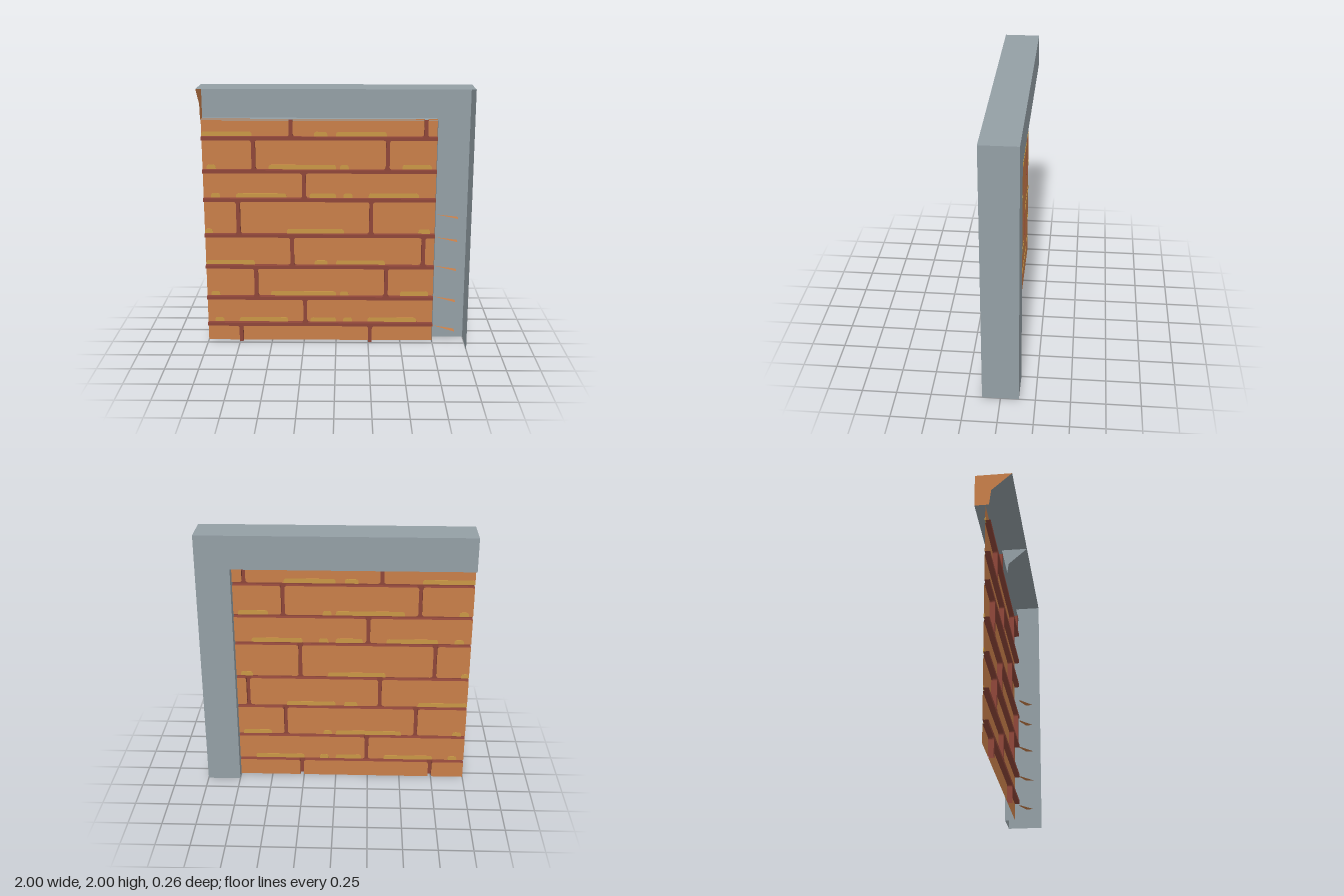
import * as THREE from 'three';

const mat = (name, color) => {
  const m = new THREE.MeshStandardMaterial({ color, side: THREE.DoubleSide });
  m.name = name;
  return m;
};

export function createModel() {
  const grey = mat('stoneGrey', 0x939fa5);
  const orange = mat('brickOrange', 0xc87e49);
  const red = mat('mortarRed', 0x8f4639);
  const ochre = mat('brickOchre', 0xc99745);

  const model = new THREE.Group();
  model.name = 'brickWallCorner';
  const add = (parent, name, geometry, material) => {
    const mesh = new THREE.Mesh(geometry, material);
    mesh.name = name;
    parent.add(mesh);
    return mesh;
  };
  const group = (name) => {
    const g = new THREE.Group();
    g.name = name;
    model.add(g);
    return g;
  };
  const polygon = (pts) => new THREE.ShapeGeometry(new THREE.Shape(pts.map(([x, y]) => new THREE.Vector2(x, y))));

  const D = 0.132;            // half depth of the frame
  const L = -1, R = 0.75, TOP = 1.755;
  const FACE = -0.055, FLOOR = -0.017;

  // Frame: an open shell made of single sheets
  const frame = group('frame');
  add(frame, 'frameFace', polygon([[-1, 2], [-1, 1.75], [R, 1.75], [R, 0], [1, 0], [1, 2]]).translate(0, 0, -D), grey);
  add(frame, 'frameTop', new THREE.PlaneGeometry(2, 2 * D).rotateX(-Math.PI / 2).translate(0, 2, 0), grey);
  add(frame, 'columnSide', new THREE.PlaneGeometry(2 * D, 2).rotateY(Math.PI / 2).translate(1, 1, 0), grey);
  const reveal = FLOOR + D;
  add(frame, 'columnReveal', new THREE.PlaneGeometry(reveal, 1.75).rotateY(Math.PI / 2)
    .translate(R, 0.875, -D + reveal / 2), grey);
  add(frame, 'beamUnderside', new THREE.PlaneGeometry(R - L, reveal).rotateX(Math.PI / 2)
    .translate((L + R) / 2, 1.75, -D + reveal / 2), grey);

  // Cross plates of the beam, at its open end and at the middle
  const rib = () => polygon([[D, 2], [0.015, 1.87], [0.04, 1.75], [D, 1.75], [-D, 2]].map(([z, y], i) =>
    i === 4 ? [D, 2] : [z, y]));
  const section = () => polygon([[-D, 2], [D, 2], [-0.015, 1.87], [-0.03, 1.75], [-D, 1.75]]).rotateY(-Math.PI / 2);
  add(frame, 'beamEnd', section().translate(-1, 0, 0), orange);
  add(frame, 'beamRib', section().translate(0, 0, 0), grey);

  // Brick ledges inside the column
  for (const y of [0.13, 0.37, 0.62, 0.85, 1.03]) {
    add(frame, 'columnLedge', polygon([[0.75, -0.05], [0.91, 0.02], [0.91, 0.08]])
      .rotateX(Math.PI / 2).translate(0, y, 0), orange);
  }

  // Courses: bottom, top, and the centres of the upright joints
  const joints = [[-0.74, 0.265], [-0.24], [-0.615, 0.385], [-0.335, 0.665]];
  const levels = [[0, 0.13], [0.155, 0.347], [0.372, 0.6], [0.625, 0.85],
    [0.875, 1.13], [1.155, 1.35], [1.375, 1.6], [1.625, TOP]];
  // Worn patches along the lower edge of the bricks, repeating every four courses
  const patches = [
    [[-1, -0.94], [-0.375, 0.06], [0.625, 0.715]],
    [[-0.945, -0.875], [-0.755, -0.375], [-0.2, 0], [0.055, 0.125], [0.245, 0.625]],
    [[-0.97, -0.9], [-0.505, 0], [0.03, 0.095], [0.495, 0.715]],
    [[-1, -0.625], [-0.165, -0.065], [0, 0.375]],
  ];
  const half = 0.014, r = 0.018;

  const bricks = group('bricks');
  const mortar = group('mortar');
  const wear = group('wornPatches');

  // Brick outline, rounded only where two joints meet
  function brick(x0, x1, y0, y1) {
    const corners = [[x0, y0, 1, 1], [x1, y0, -1, 1], [x1, y1, -1, -1], [x0, y1, 1, -1]];
    const pts = [];
    corners.forEach(([x, y, sx, sy], i) => {
      if (x === L || x === R || y === 0 || y === TOP) {
        pts.push([x, y]);
        return;
      }
      const arc = [];
      for (let k = 0; k <= 4; k++) {
        const a = Math.PI * (1 + i / 2 + k / 8);
        arc.push([x + sx * r + r * Math.cos(a), y + sy * r + r * Math.sin(a)]);
      }
      pts.push(...arc);
      add(mortar, 'jointCorner', polygon([[x, y], ...arc]).translate(0, 0, FLOOR), red);
    });
    add(bricks, 'brickFace', polygon(pts).translate(0, 0, FACE), orange);

    // Joint walls, left out along the open borders
    const wall = [];
    pts.forEach(([ax, ay], i) => {
      const [bx, by] = pts[(i + 1) % pts.length];
      const border = (ax === bx && (ax === L || ax === R)) || (ay === by && (ay === 0 || ay === TOP));
      if (border) return;
      wall.push(ax, ay, FACE, bx, by, FACE, bx, by, FLOOR, ax, ay, FACE, bx, by, FLOOR, ax, ay, FLOOR);
    });
    const g = new THREE.BufferGeometry();
    g.setAttribute('position', new THREE.Float32BufferAttribute(wall, 3));
    g.computeVertexNormals();
    add(mortar, 'jointWall', g, red);
  }

  const strip = (x0, x1, y0, y1) => add(mortar, 'jointFloor',
    new THREE.PlaneGeometry(x1 - x0, y1 - y0).translate((x0 + x1) / 2, (y0 + y1) / 2, FLOOR), red);

  levels.forEach(([y0, y1], row) => {
    let x = L;
    for (const j of joints[row % 4]) {
      brick(x, j - half, y0, y1);
      strip(j - half, j + half, y0, y1);
      x = j + half;
    }
    brick(x, R, y0, y1);
    if (row < 7) strip(L, R, y1, levels[row + 1][0]);

    // Patches: thin plates showing on both faces of the brick sheet
    if (row === 0) return;
    for (const [a, b] of patches[row % 4]) {
      const h = 0.034, c = 0.022;
      const s = new THREE.Shape();
      s.moveTo(a, y0);
      s.lineTo(b, y0);
      s.lineTo(b, y0 + h - c);
      s.quadraticCurveTo(b, y0 + h, b - c, y0 + h);
      s.lineTo(a + c, y0 + h);
      s.quadraticCurveTo(a, y0 + h, a, y0 + h - c);
      add(wear, 'wornPatch', new THREE.ExtrudeGeometry(s, { depth: 0.006, bevelEnabled: false, curveSegments: 4 })
        .translate(0, 0, FACE - 0.003), ochre);
    }
  });

  return model;
}
